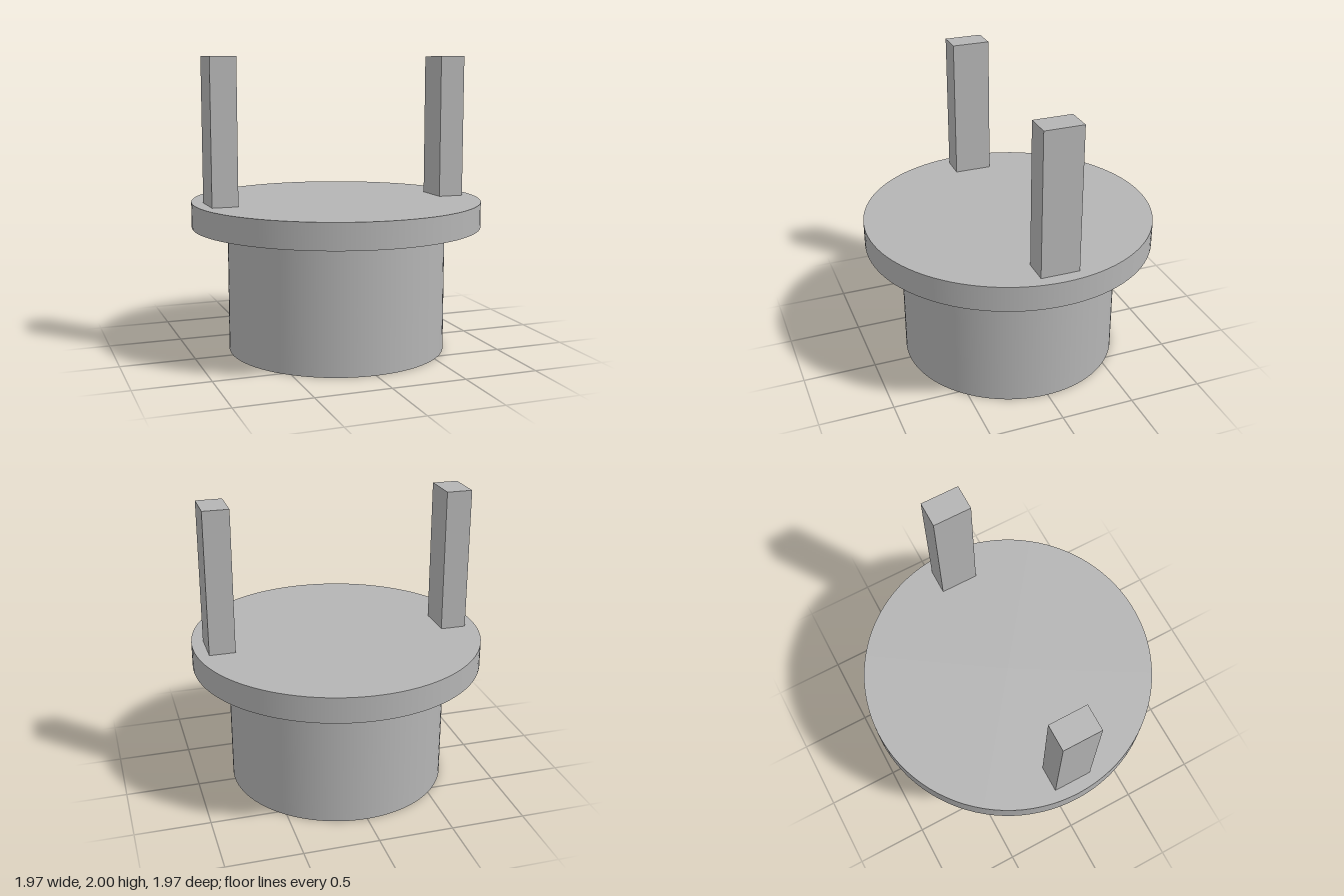
import * as THREE from 'three';

export function createModel() {
  const group = new THREE.Group();
  const grey = new THREE.MeshStandardMaterial({ color: 0xb4b4b4 });
  grey.name = 'plain grey';

  const add = (name, geometry, x, y) => {
    const mesh = new THREE.Mesh(geometry, grey);
    mesh.name = name;
    mesh.position.set(x, y, 0);
    group.add(mesh);
  };

  const flangeBottom = 0.857, flangeTop = 1.03, top = 2;

  // Round plug body and the wider flange on it
  add('body', new THREE.CylinderGeometry(0.743, 0.743, flangeBottom, 96), 0, flangeBottom / 2);
  add('flange', new THREE.CylinderGeometry(0.985, 0.985, flangeTop - flangeBottom, 96), 0, (flangeBottom + flangeTop) / 2);

  // Two upright rectangular prongs
  for (const [name, side] of [['leftProng', 1], ['rightProng', -1]]) {
    add(name, new THREE.BoxGeometry(0.175, top - flangeTop, 0.26), side * 0.81, (top + flangeTop) / 2);
  }

  return group;
}
